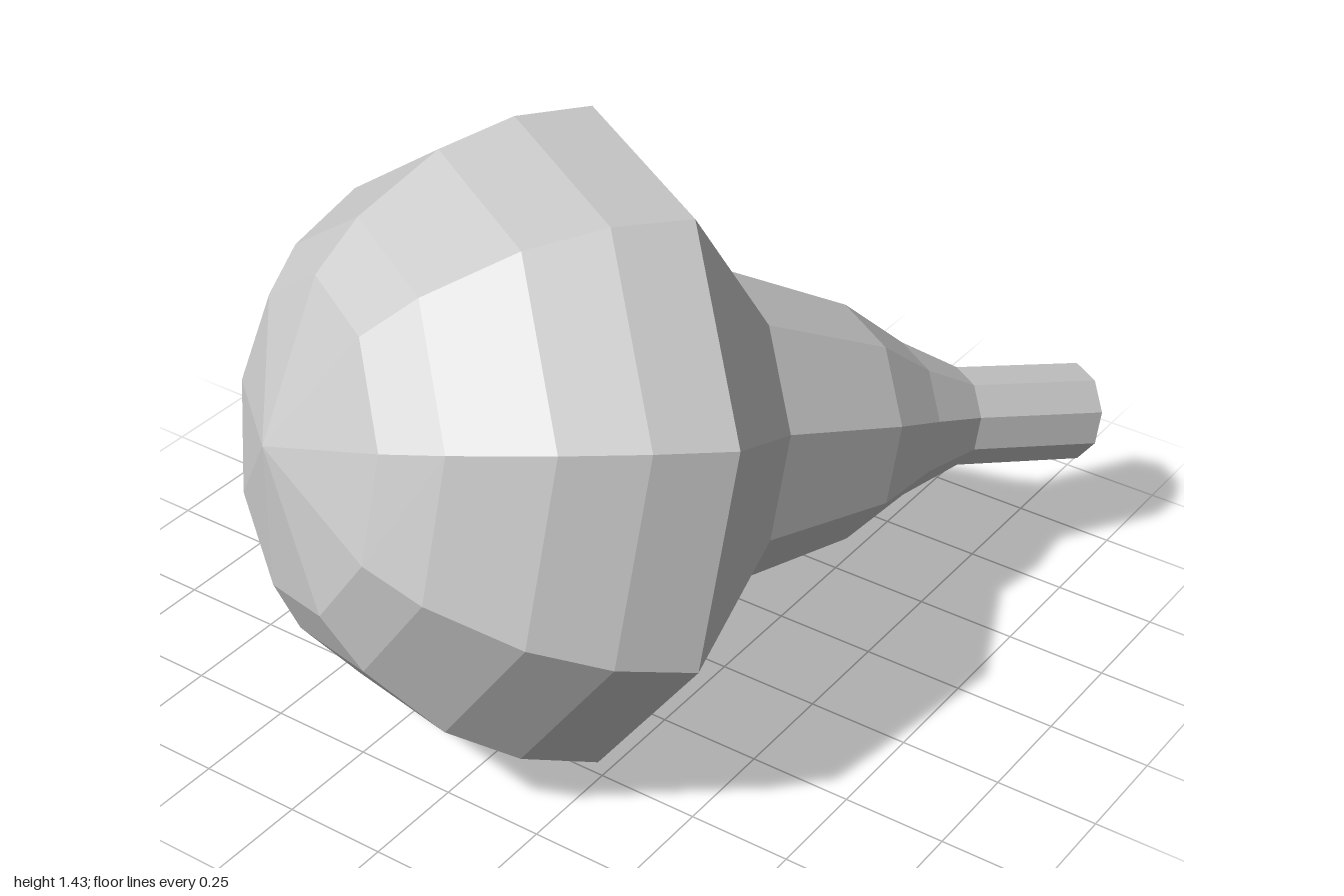
import * as THREE from 'three';

const SIDES = 9;
const RADIUS = 0.74;

export function createModel() {
  const model = new THREE.Group();
  model.name = 'bulb';

  const material = new THREE.MeshStandardMaterial({
    color: 0xcccccc, flatShading: true, side: THREE.DoubleSide,
  });

  // Tilted frame: y runs along the bulb's axis from dome to neck,
  // z points at one corner of the widest ring
  const axis = new THREE.Vector3(0.455, -0.237, -0.858).normalize();
  const corner = new THREE.Vector3(0.615, -0.174, 0.367);
  corner.addScaledVector(axis, -corner.dot(axis)).normalize();
  const across = new THREE.Vector3().crossVectors(axis, corner);
  const body = new THREE.Group();
  body.name = 'tiltedBody';
  body.quaternion.setFromRotationMatrix(new THREE.Matrix4().makeBasis(across, axis, corner));
  body.position.set(-0.005, 0.724, 0.273);
  model.add(body);

  // Each part is a nine-sided lathe of [radius, distance along axis]
  const addPart = (name, profile) => {
    const points = profile.map(([r, t]) => new THREE.Vector2(r, t));
    const mesh = new THREE.Mesh(new THREE.LatheGeometry(points, SIDES), material);
    mesh.name = name;
    body.add(mesh);
  };

  // Faceted half-sphere, from its pole to the widest ring
  const dome = [0, 30, 42, 60, 75, 90].map((deg) => {
    const a = THREE.MathUtils.degToRad(deg);
    return [RADIUS * Math.sin(a), -RADIUS * Math.cos(a)];
  });
  addPart('dome', dome);

  // Steep cone closing the dome down to the neck
  addPart('shoulder', [[RADIUS, 0], [0.374, 0.357]]);

  // Tapering neck and open tube end
  addPart('neck', [[0.374, 0.357], [0.28, 0.72], [0.185, 0.893], [0.12, 1.06]]);
  addPart('tubeEnd', [[0.12, 1.06], [0.12, 1.425]]);

  return model;
}
